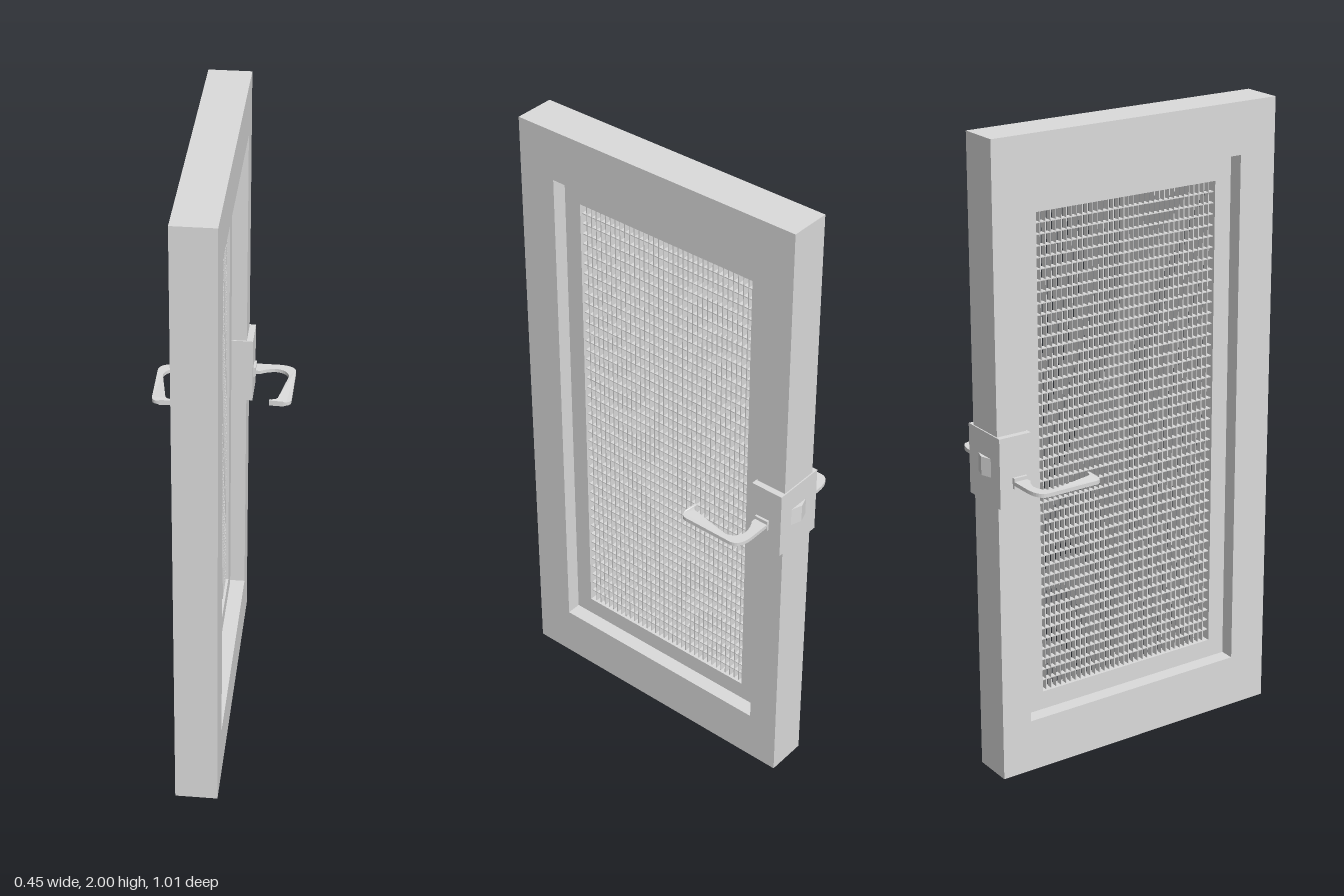
import * as THREE from 'three';
import { mergeGeometries } from 'three/addons/utils/BufferGeometryUtils.js';

const metal = new THREE.MeshStandardMaterial({ color: 0xdcdcdc });
metal.name = 'lightGrey';

function add(group, name, geometry) {
  const mesh = new THREE.Mesh(geometry, metal);
  mesh.name = name;
  group.add(mesh);
}

// Box given by its limits on each axis
function box(x0, x1, y0, y1, z0, z1) {
  return new THREE.BoxGeometry(x1 - x0, y1 - y0, z1 - z0)
    .translate((x0 + x1) / 2, (y0 + y1) / 2, (z0 + z1) / 2);
}

// Upright rectangular frame in the yz plane; outer and inner are [z0, z1, y0, y1]
function frame(outer, inner, halfDepth) {
  const path = (target, [z0, z1, y0, y1]) => {
    target.moveTo(-z1, y0);
    target.lineTo(-z0, y0);
    target.lineTo(-z0, y1);
    target.lineTo(-z1, y1);
    target.closePath();
    return target;
  };
  const shape = path(new THREE.Shape(), outer);
  shape.holes.push(path(new THREE.Path(), inner));
  return new THREE.ExtrudeGeometry(shape, { depth: 2 * halfDepth, bevelEnabled: false })
    .translate(0, 0, -halfDepth).rotateY(Math.PI / 2);
}

// Flat curled lever seen from above, thicker at the curl; side is +1 or -1
function lever(side, y, thickness) {
  const s = new THREE.Shape();
  const x = (v) => v * side;
  s.moveTo(x(0.085), -0.452);
  s.lineTo(x(0.165), -0.452);
  s.quadraticCurveTo(x(0.222), -0.45, x(0.223), -0.415);
  s.lineTo(x(0.221), -0.25);
  s.quadraticCurveTo(x(0.22), -0.228, x(0.195), -0.228);
  s.lineTo(x(0.152), -0.23);
  s.lineTo(x(0.152), -0.238);
  s.quadraticCurveTo(x(0.178), -0.238, x(0.179), -0.255);
  s.lineTo(x(0.203), -0.385);
  s.quadraticCurveTo(x(0.195), -0.424, x(0.155), -0.425);
  s.quadraticCurveTo(x(0.125), -0.42, x(0.11), -0.408);
  s.lineTo(x(0.085), -0.408);
  s.closePath();
  const g = new THREE.ExtrudeGeometry(s, { depth: thickness, bevelEnabled: false, curveSegments: 8 })
    .rotateX(Math.PI / 2).translate(0, thickness / 2, 0);
  const p = g.attributes.position;
  for (let i = 0; i < p.count; i++) {
    if (p.getZ(i) > -0.3 && Math.abs(p.getX(i)) < 0.2) p.setY(i, p.getY(i) * 1.5);
  }
  g.computeVertexNormals();
  return g.translate(0, y, 0);
}

export function createModel() {
  const door = new THREE.Group();
  door.name = 'door';

  // Thick outer frame and thin recessed inner frame
  add(door, 'outerFrame', frame([-0.492, 0.506, 0, 2], [-0.392, 0.379, 0.17, 1.838], 0.066));
  add(door, 'innerFrame', frame([-0.383, 0.379, 0.17, 1.838], [-0.317, 0.321, 0.23, 1.757], 0.018));

  // Grille of thin slats
  const slats = [];
  const columns = 35, rows = 44, half = 0.0015;
  for (let i = 1; i < columns; i++) {
    const z = -0.317 + 0.638 * i / columns;
    slats.push(box(-0.01, 0.01, 0.23, 1.757, z - half, z + half));
  }
  for (let i = 1; i < rows; i++) {
    const y = 0.23 + 1.527 * i / rows;
    slats.push(box(-0.0098, 0.0098, y - half, y + half, -0.317, 0.321));
  }
  add(door, 'grille', mergeGeometries(slats));

  // Lock case wrapped around the door edge
  add(door, 'lockCase', box(-0.085, 0.086, 0.903, 1.123, -0.496, -0.388));

  // Pointed latch on the edge
  const wedge = new THREE.Shape([
    new THREE.Vector2(-0.035, -0.49), new THREE.Vector2(-0.035, -0.496),
    new THREE.Vector2(0, -0.508), new THREE.Vector2(0.035, -0.496),
    new THREE.Vector2(0.035, -0.49),
  ]);
  add(door, 'latch', new THREE.ExtrudeGeometry(wedge, { depth: 0.058, bevelEnabled: false })
    .rotateX(Math.PI / 2).translate(0, 1.047, 0));

  // Levers with their collars
  for (const [side, name, y] of [[1, 'left', 0.998], [-1, 'right', 0.978]]) {
    add(door, name + 'Lever', lever(side, y, 0.012));
    add(door, name + 'Collar', new THREE.BoxGeometry(0.012, 0.034, 0.046)
      .translate(side * 0.088, y, -0.43));
  }
  return door;
}
